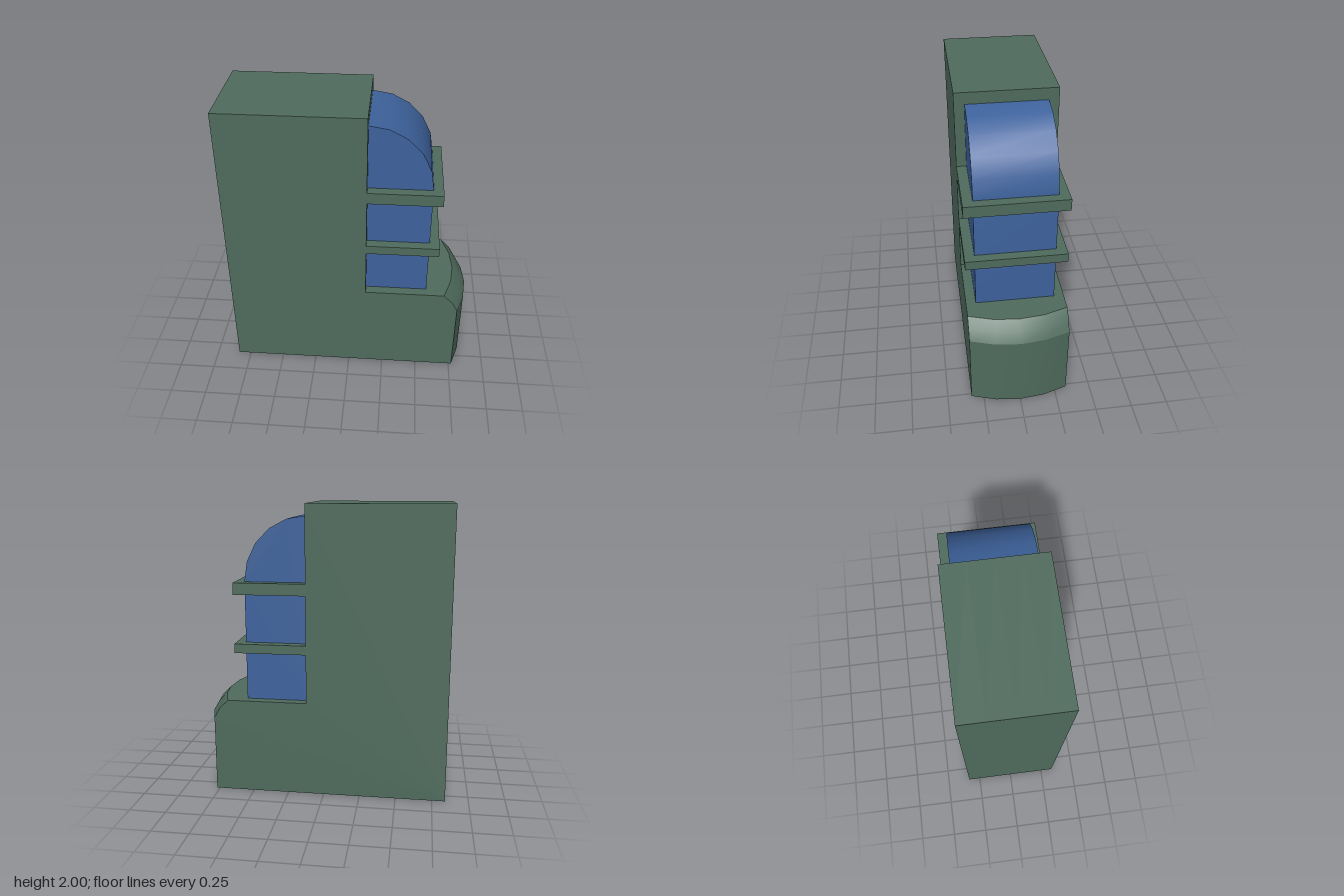
import * as THREE from 'three';
import { toCreasedNormals } from 'three/addons/utils/BufferGeometryUtils.js';

const HALF_DEPTH = 0.335;
const green = new THREE.MeshStandardMaterial({ color: 0x4f6b5d });
const blue = new THREE.MeshStandardMaterial({ color: 0x3d629c });

// Side outline pushed through z, centred on z = 0
function extrudeOutline(points, halfDepth, steps = 1) {
  const shape = new THREE.Shape(points.map(([x, y]) => new THREE.Vector2(x, y)));
  const geometry = new THREE.ExtrudeGeometry(shape, { depth: 2 * halfDepth, steps, bevelEnabled: false });
  return geometry.translate(0, 0, -halfDepth);
}

function addMesh(group, name, geometry, material) {
  const mesh = new THREE.Mesh(geometry, material);
  mesh.name = name;
  group.add(mesh);
}

export function createModel() {
  const group = new THREE.Group();
  group.name = 'tower';

  // L-shaped body: tall rear block and low foot
  const body = extrudeOutline([
    [-0.84, 0], [0.77, 0], [0.77, 0.53], [0.73, 0.6], [0.67, 0.66],
    [0.12, 0.66], [0.12, 2], [-0.84, 2],
  ], HALF_DEPTH, 4);

  // Bow the end of the foot outwards towards its middle
  const position = body.attributes.position;
  for (let i = 0; i < position.count; i++) {
    const x = position.getX(i);
    const t = position.getZ(i) / HALF_DEPTH;
    if (x > 0.6) position.setX(i, x + 0.07 * (1 - t * t));
  }
  addMesh(group, 'body', toCreasedNormals(body, 0.4), green);

  // Glazed bay with a quarter-round roof
  const bayOutline = [[0.12, 0.66], [0.545, 0.66]];
  for (let i = 0; i <= 5; i++) {
    const a = (i / 5) * Math.PI / 2;
    bayOutline.push([0.12 + 0.425 * Math.cos(a), 1.48 + 0.44 * Math.sin(a)]);
  }
  addMesh(group, 'glazedBay', toCreasedNormals(extrudeOutline(bayOutline, 0.268), 0.5), blue);

  // Ledges dividing the bay into storeys
  for (const [name, bottom, top] of [['lowerLedge', 1, 1.063], ['upperLedge', 1.4, 1.48]]) {
    const ledge = new THREE.BoxGeometry(0.49, top - bottom, 2 * HALF_DEPTH);
    addMesh(group, name, ledge.translate(0.365, (bottom + top) / 2, 0), green);
  }

  return group;
}
